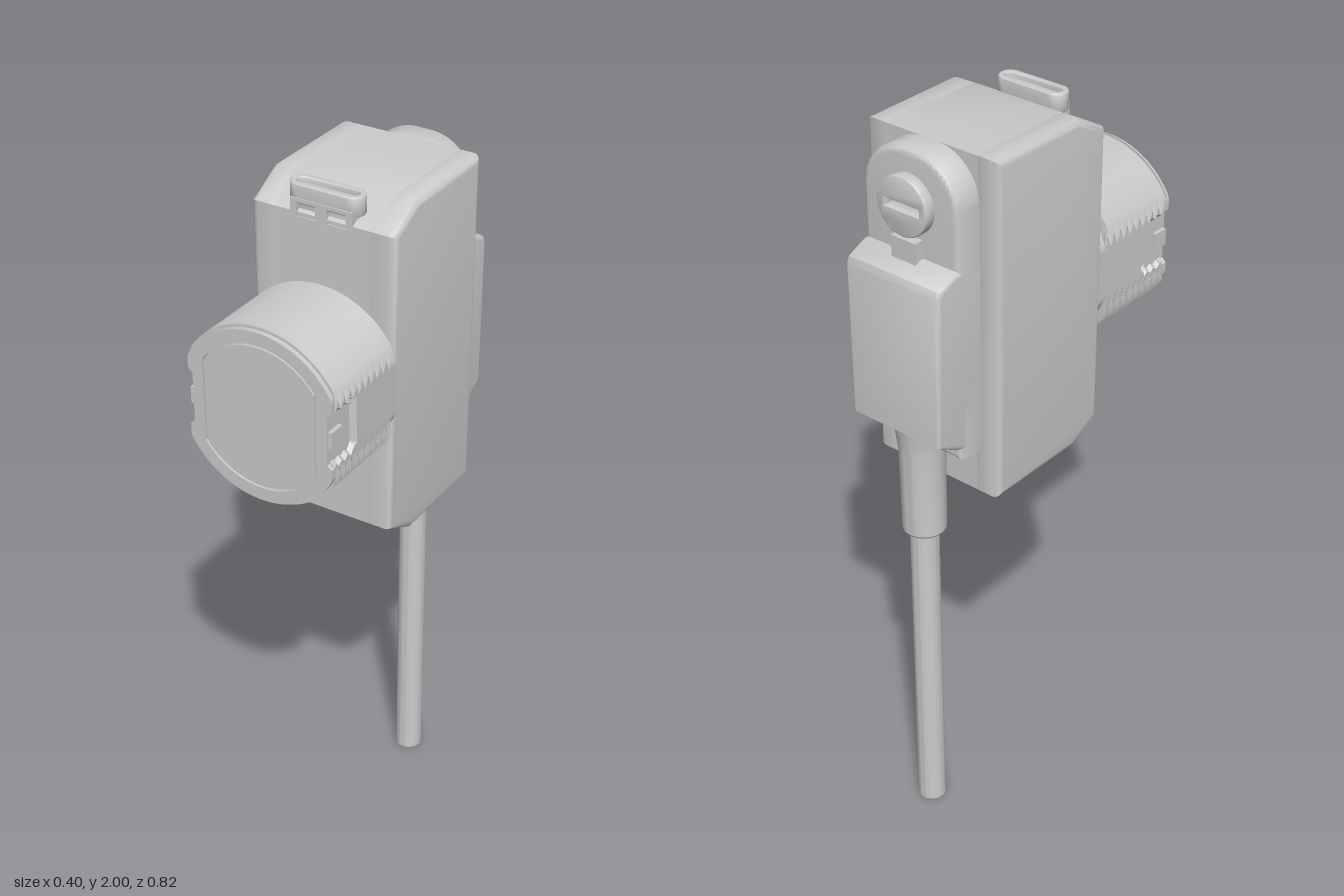
import * as THREE from 'three';
import { toCreasedNormals } from 'three/addons/utils/BufferGeometryUtils.js';

const material = new THREE.MeshStandardMaterial({ color: 0xcccccc });
const BARREL_Y = 1.53;

function add(group, name, geometry, crease = 0.6) {
  const mesh = new THREE.Mesh(toCreasedNormals(geometry, crease), material);
  mesh.name = name;
  group.add(mesh);
  return mesh;
}

const polygon = (pts) => new THREE.Shape(pts.map(([x, y]) => new THREE.Vector2(x, y)));

// Regular polygon or circle, first corner pointing up
const ring = (cx, cy, r, n) => polygon(Array.from({ length: n }, (_, i) => {
  const a = Math.PI / 2 + (i / n) * Math.PI * 2;
  return [cx + r * Math.cos(a), cy + r * Math.sin(a)];
}));

const rect = (x0, x1, y0, y1) => polygon([[x0, y0], [x1, y0], [x1, y1], [x0, y1]]);

// Bar with round ends
function stadium(halfLength, r, cy) {
  const s = new THREE.Shape();
  s.absarc(halfLength - r, cy, r, -Math.PI / 2, Math.PI / 2);
  s.absarc(r - halfLength, cy, r, Math.PI / 2, Math.PI * 1.5);
  s.closePath();
  return s;
}

// Extrusion from w0 to w1 whose rounded edges stay inside the outline
function extrude(shape, w0, w1, bevel = 0) {
  return new THREE.ExtrudeGeometry(shape, {
    depth: w1 - w0 - 2 * bevel, bevelEnabled: bevel > 0, bevelThickness: bevel,
    bevelSize: bevel, bevelOffset: -bevel, bevelSegments: 4, curveSegments: 20,
  }).translate(0, 0, w0 + bevel);
}

// Side profile given as (-z, y), extruded along x
const sideways = (...args) => extrude(...args).rotateY(Math.PI / 2);

// Flat sides of the barrel, with a shallow pocket near the front
function clampX(x, y, z) {
  const taper = Math.max(0, 0.33 - z);
  const limit = z > 0.31 && Math.abs(y) < 0.07 - taper ? 0.188 : 0.2;
  return THREE.MathUtils.clamp(x, -limit, limit);
}

function barrelOutline(r, z) {
  return polygon(Array.from({ length: 128 }, (_, i) => {
    const a = (i / 128) * Math.PI * 2;
    const y = r * Math.sin(a);
    return [clampX(r * Math.cos(a), y, z), BARREL_Y + y];
  }));
}

// Circle with its left and right sides cut straight
function windowOutline(r, halfWidth) {
  const a = Math.acos(halfWidth / r);
  const s = new THREE.Shape();
  s.absarc(0, BARREL_Y, r, a, Math.PI - a);
  s.absarc(0, BARREL_Y, r, Math.PI + a, Math.PI * 2 - a);
  s.closePath();
  return s;
}

function threadGeometry() {
  const pitch = 0.0265, segments = 128, profile = [];
  for (let j = 0; j <= 26; j++) {
    profile.push(new THREE.Vector2(j % 2 ? 0.235 : 0.212, 0.1 + j * pitch / 2));
  }
  const g = new THREE.LatheGeometry(profile, segments).rotateX(Math.PI / 2);
  const p = g.attributes.position;
  for (let i = 0; i < p.count; i++) {
    const turn = Math.floor(i / profile.length) / segments;
    const z = THREE.MathUtils.clamp(p.getZ(i) + pitch * turn, 0.15, 0.402);
    p.setXYZ(i, clampX(p.getX(i), p.getY(i), z), p.getY(i), z);
  }
  return g.translate(0, BARREL_Y, 0);
}

function buildHousing(group) {
  const outline = [[-0.14, 1.12], [-0.04, 1.07], [0.26, 1.07], [0.26, 1.985], [-0.04, 1.985], [-0.14, 1.93]];
  const holes = [[-0.045, 1.845], [-0.045, 1.205]];

  const core = polygon(outline);
  core.holes = holes.map(([u, v]) => ring(u, v, 0.043, 32));
  // Slightly inset so only the side slabs show a bevel
  add(group, 'housingCore', sideways(core, -0.14, 0.14));

  // Side slabs with straight-walled hexagonal nut pockets
  for (const [side, w0, w1] of [['left', 0.11, 0.2], ['right', -0.2, -0.11]]) {
    const slab = polygon(outline);
    slab.holes = holes.map(([u, v]) => ring(u, v, 0.075, 6));
    const g = extrude(slab, w0, w1, 0.02);
    const p = g.attributes.position;
    for (let i = 0; i < p.count; i++) {
      for (const [u, v] of holes) {
        const dx = p.getX(i) - u, dy = p.getY(i) - v, d = Math.hypot(dx, dy);
        if (d < 0.104) p.setXY(i, u + dx * 0.088 / d, v + dy * 0.088 / d);
      }
    }
    add(group, side + 'HousingSide', g.rotateY(Math.PI / 2));
  }
}

function buildBarrel(group) {
  add(group, 'barrelNeck', extrude(barrelOutline(0.213, 0.15), 0.13, 0.16));
  add(group, 'barrelThread', threadGeometry(), 0.4);
  add(group, 'barrelFloor', extrude(barrelOutline(0.21, 0.4), 0.39, 0.404));
  const rim = barrelOutline(0.228, 0.4);
  rim.holes = [windowOutline(0.193, 0.158)];
  add(group, 'barrelRim', extrude(rim, 0.398, 0.415));
  add(group, 'lensWindow', extrude(windowOutline(0.188, 0.153), 0.4, 0.414));
  for (const s of [-1, 1]) {
    add(group, 'pocketTab', new THREE.BoxGeometry(0.016, 0.045, 0.045)
      .translate(s * 0.191, BARREL_Y, 0.388));
  }
}

function buildIndicator(group) {
  // Raised light bar, lying flat on top
  const frame = stadium(0.1, 0.03, -0.11);
  frame.holes = [stadium(0.084, 0.014, -0.11)];
  const flat = (g) => g.rotateX(-Math.PI / 2);
  add(group, 'indicatorFrame', flat(extrude(frame, 1.95, 2, 0.004)));
  add(group, 'indicatorLight', flat(extrude(stadium(0.09, 0.02, -0.11), 1.92, 1.985)));
  // Front plate with two small square windows
  const plate = rect(-0.085, 0.085, 1.915, 1.965);
  plate.holes = [rect(-0.068, -0.015, 1.92, 1.957), rect(0.015, 0.068, 1.92, 1.957)];
  add(group, 'indicatorWindows', extrude(plate, 0.11, 0.143));
}

function buildBack(group) {
  // Arched plate behind the adjuster
  const arch = new THREE.Shape();
  arch.moveTo(-0.145, 1.2);
  arch.lineTo(0.145, 1.2);
  arch.absarc(0.02, 1.86, 0.125, 0, Math.PI / 2);
  arch.absarc(-0.02, 1.86, 0.125, Math.PI / 2, Math.PI);
  arch.closePath();
  add(group, 'backPlate', extrude(arch, -0.336, -0.24, 0.015));

  // Slotted adjuster dial
  const dial = ring(0, 1.853, 0.076, 48);
  dial.holes = [rect(-0.052, 0.052, 1.843, 1.863)];
  add(group, 'adjusterDial', extrude(dial, -0.365, -0.33, 0.004));
  add(group, 'dialStop', new THREE.BoxGeometry(0.075, 0.07, 0.035).translate(0, 1.735, -0.345));

  // Cable cover with sloped underside
  const cover = polygon([[0.24, 1.19], [0.26, 1.19], [0.41, 1.27], [0.41, 1.68],
    [0.402, 1.697], [0.385, 1.705], [0.345, 1.722], [0.24, 1.722]]);
  add(group, 'cableCover', sideways(cover, -0.145, 0.145, 0.014));
}

function buildCable(group) {
  const lathe = (pts) => new THREE.LatheGeometry(pts.map(([r, y]) => new THREE.Vector2(r, y)), 40)
    .translate(0, 0, -0.317);
  add(group, 'strainRelief', lathe([[0, 0.925], [0.052, 0.925], [0.057, 0.932], [0.06, 1.17],
    [0.066, 1.22], [0.08, 1.29], [0, 1.29]]));
  add(group, 'cable', lathe([[0, 0], [0.038, 0], [0.038, 0.95], [0, 0.95]]));
}

export function createModel() {
  const model = new THREE.Group();
  model.name = 'photoelectricSensor';
  const parts = { housing: buildHousing, lensBarrel: buildBarrel, indicator: buildIndicator,
    backCover: buildBack, cableAssembly: buildCable };
  for (const [name, build] of Object.entries(parts)) {
    const group = new THREE.Group();
    group.name = name;
    build(group);
    model.add(group);
  }
  return model;
}
